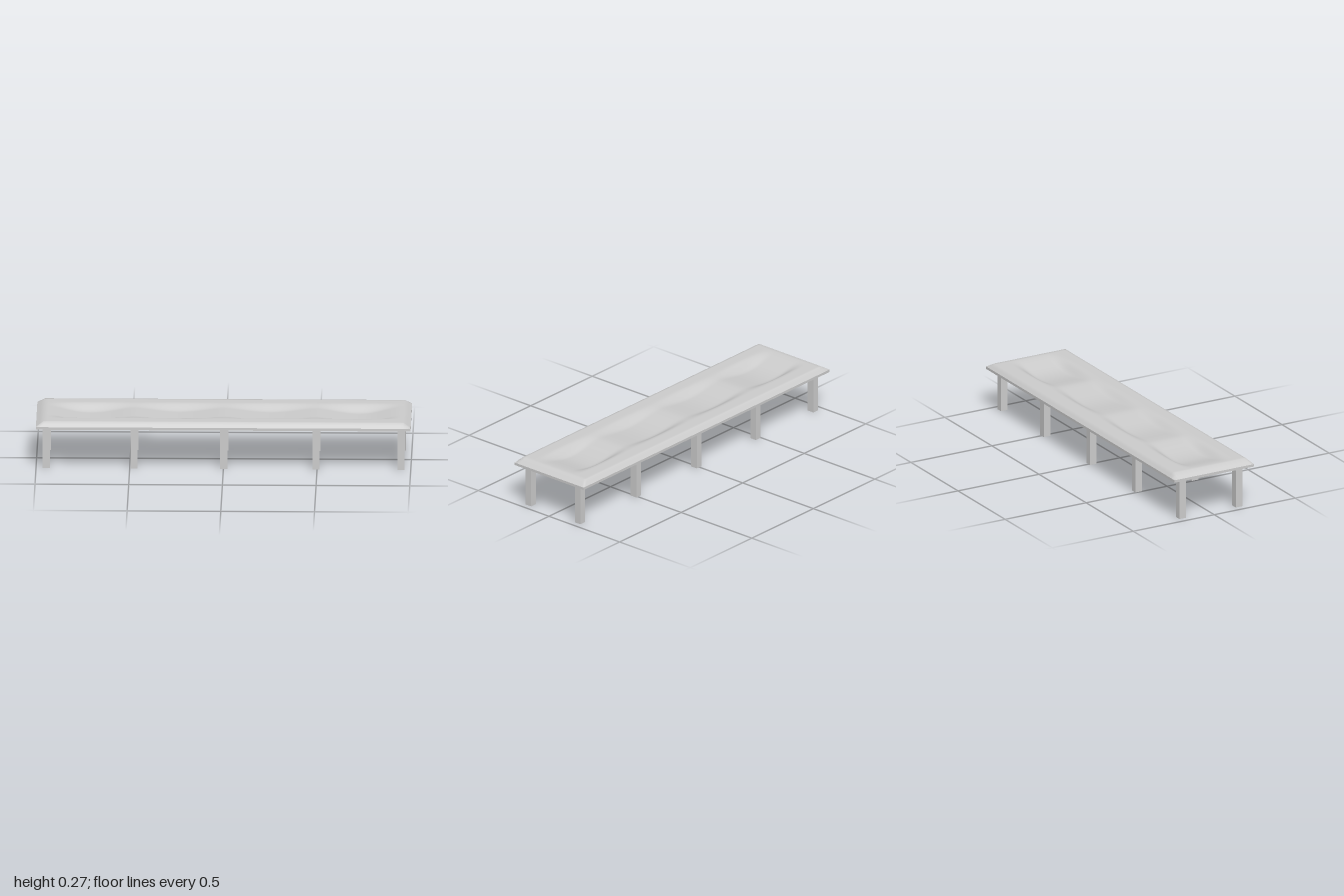
import * as THREE from 'three';

const { smoothstep } = THREE.MathUtils;
const TOP = 0.267, RIM_TOP = 0.242, RIM_BOTTOM = 0.228;
const HALF_X = 1, HALF_Z = 0.245;
const supports = [-0.945, -0.478, 0.002, 0.494, 0.948];

// Height of the padded surface: bevelled edges and a soft hollow in every bay
function padHeight(x, z) {
  const ax = Math.abs(x), az = Math.abs(z);
  const bevel = Math.min(1, (HALF_X - ax) / 0.04, (HALF_Z - az) / 0.0245);
  let sag = 0.009 * (1 - smoothstep(ax, 0.75, 0.95));
  for (let i = 0; i < 4; i++) {
    const t = (x - supports[i]) / (supports[i + 1] - supports[i]);
    if (t > 0 && t < 1) {
      const depth = i === 0 || i === 3 ? 0.027 : 0.021;
      sag += depth * Math.pow(Math.sin(Math.PI * t), 1.5);
    }
  }
  sag *= 1 - smoothstep(az, 0.08, 0.15);
  return RIM_TOP + (TOP - RIM_TOP) * bevel - sag;
}

export function createModel() {
  const group = new THREE.Group();
  const grey = new THREE.MeshStandardMaterial({ color: 0xcccccc });
  const greyDouble = new THREE.MeshStandardMaterial({ color: 0xcccccc, side: THREE.DoubleSide });

  const add = (name, geometry, material = grey) => {
    const mesh = new THREE.Mesh(geometry, material);
    mesh.name = name;
    group.add(mesh);
    return mesh;
  };
  const box = (name, w, h, d, x, y, z) =>
    add(name, new THREE.BoxGeometry(w, h, d), grey).position.set(x, y, z);

  // Padded top, a thin shell open underneath
  const pad = new THREE.PlaneGeometry(2 * HALF_X, 2 * HALF_Z, 100, 40);
  pad.rotateX(-Math.PI / 2);
  const p = pad.attributes.position;
  for (let i = 0; i < p.count; i++) p.setY(i, padHeight(p.getX(i), p.getZ(i)));
  pad.computeVertexNormals();
  add('paddedTop', pad, greyDouble);

  // Rim around the underside of the top
  const rect = (Type, hx, hz) => new Type([
    new THREE.Vector2(-hx, -hz), new THREE.Vector2(hx, -hz),
    new THREE.Vector2(hx, hz), new THREE.Vector2(-hx, hz),
  ]);
  const rimShape = rect(THREE.Shape, HALF_X, HALF_Z);
  rimShape.holes.push(rect(THREE.Path, 0.955, 0.2));
  const rim = new THREE.ExtrudeGeometry(rimShape, { depth: RIM_TOP - RIM_BOTTOM, bevelEnabled: false });
  rim.rotateX(-Math.PI / 2);
  rim.translate(0, RIM_BOTTOM, 0);
  add('rim', rim);

  // Leg pairs, each joined by a cross bar
  for (const x of supports) {
    for (const side of [-1, 1]) box('leg', 0.038, 0.235, 0.04, x, 0.1175, side * 0.174);
    box('crossBar', 0.038, 0.02, 0.308, x, 0.232, 0);
  }

  // Long rails between the legs
  for (const side of [-1, 1]) {
    for (let i = 0; i < 4; i++) {
      const length = supports[i + 1] - supports[i] - 0.038;
      box('rail', length, 0.02, 0.038, (supports[i] + supports[i + 1]) / 2, 0.232, side * 0.174);
    }
  }
  return group;
}
